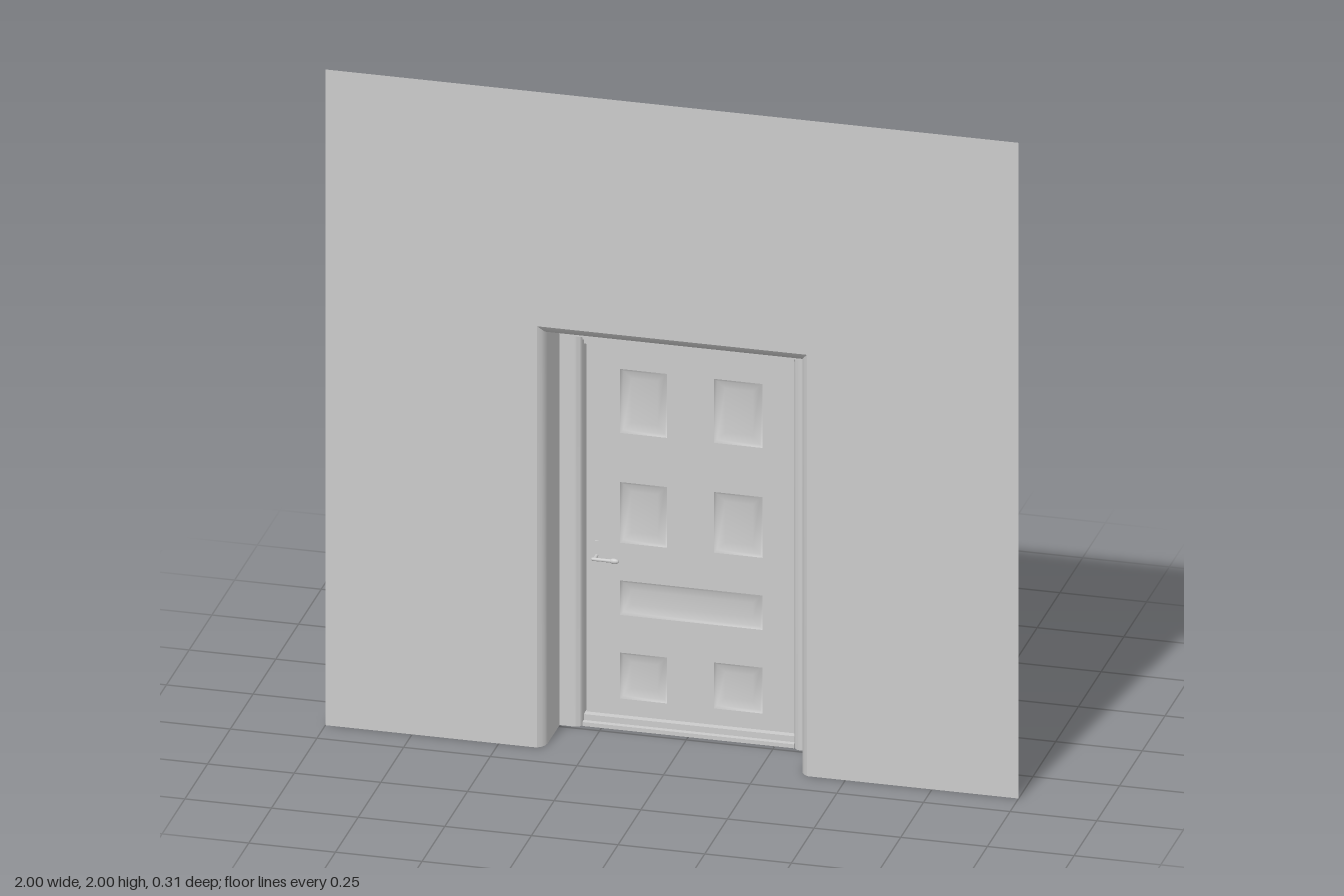
import * as THREE from 'three';
import { toCreasedNormals } from 'three/addons/utils/BufferGeometryUtils.js';

const mat = new THREE.MeshStandardMaterial({ color: 0xcccccc, side: THREE.DoubleSide });
const FRONT = -0.055, BACK = -0.085; // door leaf faces

function add(parent, name, geometry, x = 0, y = 0, z = 0) {
  const mesh = new THREE.Mesh(geometry, mat);
  mesh.name = name;
  mesh.position.set(x, y, z);
  parent.add(mesh);
  return mesh;
}

const box = (w, h, d) => new THREE.BoxGeometry(w, h, d);

function rectPath(x0, x1, y0, y1, Type = THREE.Path) {
  const p = new Type();
  p.moveTo(x0, y0);
  p.lineTo(x1, y0);
  p.lineTo(x1, y1);
  p.lineTo(x0, y1);
  p.closePath();
  return p;
}

// Skin between matching cross-sections, each a list of [x, y, z]
function skin(sections, crease = 0.7) {
  const n = sections[0].length;
  const index = [];
  for (let i = 0; i < sections.length - 1; i++) {
    for (let j = 0; j < n - 1; j++) {
      const a = i * n + j, b = a + n;
      index.push(a, a + 1, b, b, a + 1, b + 1);
    }
  }
  const g = new THREE.BufferGeometry();
  g.setAttribute('position', new THREE.Float32BufferAttribute(sections.flat(2), 3));
  g.setIndex(index);
  return toCreasedNormals(g, crease);
}

// Sunken panel: rectangular rings stepping inwards to a shallow floor
function panelGeometry([x0, x1, y0, y1], face, inward) {
  const cx = (x0 + x1) / 2, cy = (y0 + y1) / 2;
  const rings = [[0, 0], [0.008, 0.006], [0.03, 0.011], [1, 0.009]].map(([inset, depth]) => {
    const w = Math.max((x1 - x0) / 2 - inset, 0), h = Math.max((y1 - y0) / 2 - inset, 0);
    const z = face + inward * depth;
    const ring = [[-w, -h], [w, -h], [w, h], [-w, h], [-w, -h]].map(([x, y]) => [cx + x, cy + y, z]);
    return inward < 0 ? ring : ring.reverse();
  });
  return skin(rings, 0.9);
}

export function createModel() {
  const model = new THREE.Group();

  // Wall sheet with the doorway cut out at the bottom
  const wall = new THREE.Shape();
  [[-1, 0], [-0.39, 0], [-0.39, 1.285], [0.39, 1.285], [0.39, 0], [1, 0], [1, 2], [-1, 2]]
    .forEach(([x, y], i) => (i ? wall.lineTo(x, y) : wall.moveTo(x, y)));
  add(model, 'wall', new THREE.ShapeGeometry(wall), 0, 0, 0.157);

  // Doorway lining with a flared front edge
  const lining = [[0.157, 0.39, 1.285], [0.148, 0.379, 1.273], [0.137, 0.371, 1.262],
    [0.122, 0.368, 1.257], [-0.157, 0.368, 1.257]]
    .map(([z, w, h]) => [[-w, 0, z], [-w, h, z], [w, h, z], [w, 0, z]]);
  add(model, 'doorwayLining', skin(lining));

  // Side jambs, rounded on the inner front edge
  const frame = new THREE.Group();
  frame.name = 'doorFrame';
  model.add(frame);
  for (const side of [-1, 1]) {
    const s = new THREE.Shape();
    s.moveTo(side * 0.375, 0.01);
    s.lineTo(side * 0.33, 0.01);
    s.quadraticCurveTo(side * 0.305, 0.01, side * 0.305, 0.035);
    s.lineTo(side * 0.305, 0.095);
    s.lineTo(side * 0.375, 0.095);
    s.closePath();
    const g = new THREE.ExtrudeGeometry(s, { depth: 1.19, bevelEnabled: false, curveSegments: 8 });
    g.rotateX(-Math.PI / 2); // shape y becomes -z, depth becomes height
    add(frame, side > 0 ? 'leftJamb' : 'rightJamb', toCreasedNormals(g, 0.6));
  }

  // Header with a softly rounded top
  const head = new THREE.Shape();
  head.moveTo(0.01, 1.19);
  head.lineTo(0.01, 1.225);
  head.quadraticCurveTo(0.015, 1.261, 0.05, 1.261);
  head.quadraticCurveTo(0.09, 1.261, 0.095, 1.235);
  head.lineTo(0.095, 1.19);
  head.closePath();
  const headGeo = new THREE.ExtrudeGeometry(head, { depth: 0.75, bevelEnabled: false, curveSegments: 8 });
  headGeo.rotateY(Math.PI / 2); // depth runs along x, shape x becomes -z
  add(frame, 'header', toCreasedNormals(headGeo, 0.6), -0.375);

  // Stop strips over the door and stepped threshold
  add(frame, 'topStop', box(0.61, 0.03, 0.05), 0, 1.175, -0.06);
  add(frame, 'topStopLip', box(0.61, 0.012, 0.065), 0, 1.184, -0.055);
  add(frame, 'threshold', box(0.61, 0.012, 0.075), 0, 0.006, -0.0575);
  add(frame, 'thresholdStep', box(0.61, 0.018, 0.05), 0, 0.021, -0.06);

  // Door leaf with seven sunken panels on both faces
  const door = new THREE.Group();
  door.name = 'door';
  model.add(door);
  const panels = [[-0.205, 0.205, 0.335, 0.44]];
  for (const [y0, y1] of [[0.08, 0.22], [0.555, 0.74], [0.89, 1.085]]) {
    panels.push([-0.205, -0.07, y0, y1], [0.065, 0.205, y0, y1]);
  }
  for (const [face, inward, label] of [[FRONT, -1, 'front'], [BACK, 1, 'back']]) {
    const s = rectPath(-0.303, 0.303, 0.03, 1.16, THREE.Shape);
    panels.forEach(p => s.holes.push(rectPath(...p)));
    const g = new THREE.ShapeGeometry(s);
    if (inward > 0) g.rotateY(Math.PI);
    // the turned back face is mirrored, so swap it back to line up its panels
    if (inward > 0) g.scale(-1, 1, 1);
    add(door, label + 'Face', g, 0, 0, face);
    panels.forEach(p => add(door, label + 'Panel', panelGeometry(p, face, inward)));
  }
  const mid = (FRONT + BACK) / 2, thick = FRONT - BACK;
  for (const side of [-1, 1]) {
    add(door, 'sideEdge', box(0.002, 1.13, thick), side * 0.302, 0.595, mid);
  }
  add(door, 'topEdge', box(0.604, 0.002, thick), 0, 1.159, mid);
  add(door, 'bottomEdge', box(0.604, 0.002, thick), 0, 0.031, mid);

  // Lever handle, slim lock plate and the fixings behind
  const handle = new THREE.Group();
  handle.name = 'handle';
  handle.position.set(-0.272, 0.51, FRONT);
  door.add(handle);
  add(handle, 'lockPlate', box(0.01, 0.11, 0.004), 0, -0.01, 0.002);
  const rod = new THREE.CylinderGeometry(0.005, 0.005, 0.03, 12).rotateX(Math.PI / 2);
  add(handle, 'spindle', rod, 0, 0, 0.015);
  const lever = new THREE.CapsuleGeometry(0.005, 0.065, 4, 10).rotateZ(Math.PI / 2);
  add(handle, 'lever', lever, 0.028, 0, 0.03);
  const grip = new THREE.SphereGeometry(0.008, 12, 8).scale(1.8, 1, 0.9);
  add(handle, 'leverGrip', grip, 0.057, 0, 0.03);
  for (const y of [0, -0.1]) {
    const fixing = new THREE.CylinderGeometry(0.005, 0.005, 0.006, 12).rotateX(Math.PI / 2);
    add(handle, 'backFixing', fixing, 0, y, BACK - FRONT - 0.002);
  }

  return model;
}
